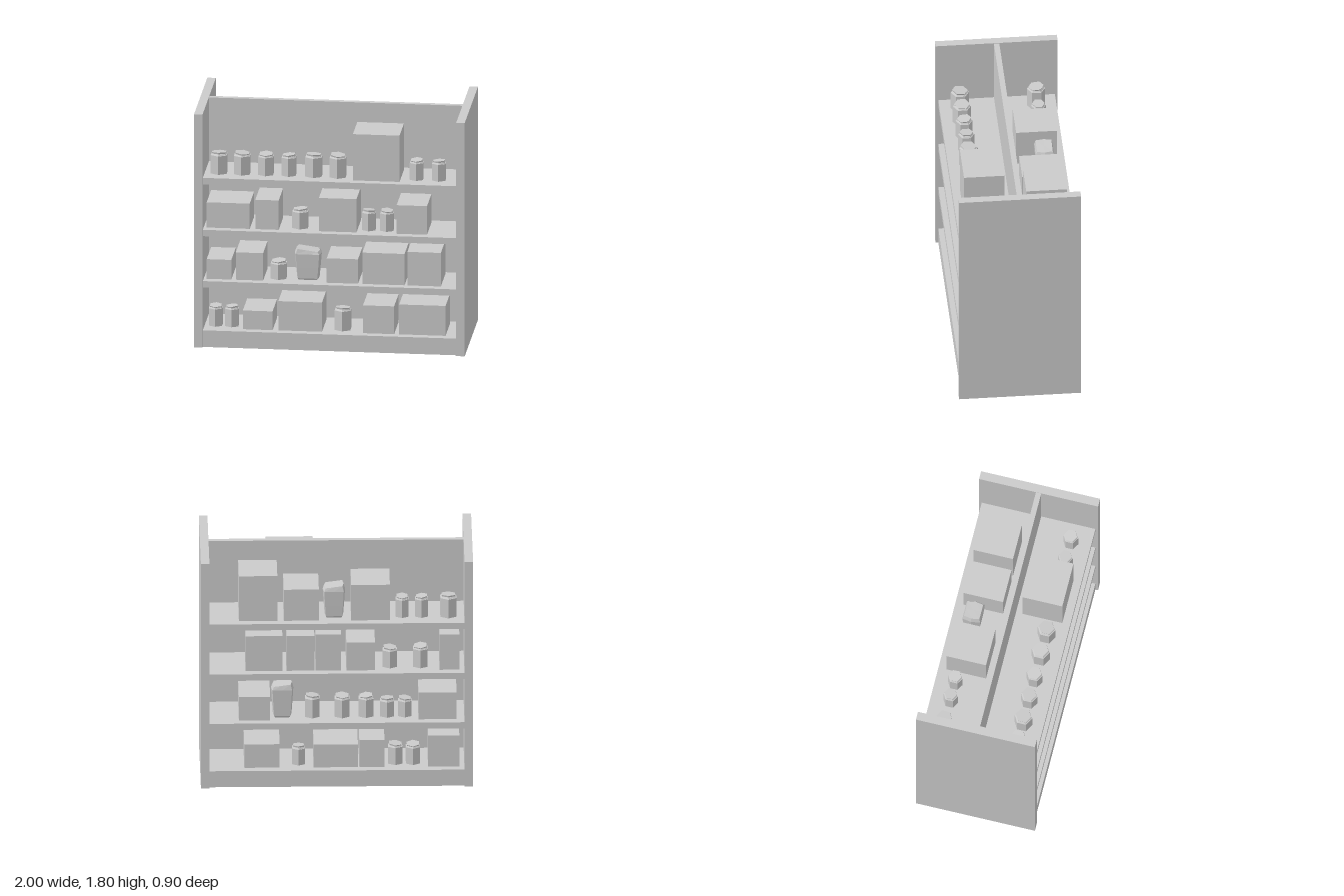
import * as THREE from 'three';

const grey = new THREE.MeshStandardMaterial({ color: 0xcacaca, flatShading: true });
grey.name = 'pale grey';

function add(parent, name, geometry, x = 0, y = 0, z = 0) {
  const mesh = new THREE.Mesh(geometry, grey);
  mesh.name = name;
  mesh.position.set(x, y, z);
  parent.add(mesh);
  return mesh;
}

// Box given by its limits on each axis
function block(parent, name, x0, x1, y0, y1, z0, z1) {
  return add(parent, name, new THREE.BoxGeometry(x1 - x0, y1 - y0, z1 - z0),
    (x0 + x1) / 2, (y0 + y1) / 2, (z0 + z1) / 2);
}

// Six-sided jar with a pinched neck and a slightly tilted lid
function jar(parent, x, y, top, z, r, turn) {
  const g = new THREE.Group();
  g.name = 'jar';
  g.position.set(x, y, z);
  const h = top - y;
  add(g, 'jarBody', new THREE.CylinderGeometry(r, r, h - 0.022, 6), 0, (h - 0.022) / 2);
  add(g, 'jarNeck', new THREE.CylinderGeometry(r * 0.78, r * 0.92, 0.01, 6), 0, h - 0.017);
  const lid = add(g, 'jarLid', new THREE.CylinderGeometry(r * 0.86, r * 0.78, 0.012, 6), 0, h - 0.008);
  lid.rotation.set(0.1 * Math.cos(turn), 0, 0.1 * Math.sin(turn));
  parent.add(g);
}

// Sack: widens upwards to a shoulder, with cut corners, a short bevel and a sloping top
function sack(parent, x, y, top, z, w, d) {
  const h = top - y;
  const geo = new THREE.BoxGeometry(w, h, d, 2, 4, 2);
  const p = geo.attributes.position;
  const rows = [{ t: 0, s: 0.76 }, { t: 0.05, s: 0.83 }, { t: 0.4, s: 0.91 }, { t: 0.84, s: 1 }, { t: 1, s: 0.86 }];
  for (let i = 0; i < p.count; i++) {
    const { t, s } = rows[Math.round((p.getY(i) / h + 0.5) * 4)];
    const px = p.getX(i), pz = p.getZ(i);
    const corner = Math.abs(px) > 0.01 && Math.abs(pz) > 0.01 ? 0.87 : 1;
    const lean = t === 1 ? -0.1 * (px + w / 2) : 0;
    p.setXYZ(i, px * s * corner, (t - 0.5) * h + lean, pz * s);
  }
  geo.computeVertexNormals();
  add(parent, 'sack', geo, x, y + h / 2, z);
}

// Goods per shelf: boxes [x0, x1, top], jars [x, top, radius], sacks [x, top, width]
const levels = [0.128, 0.507, 0.902, 1.302];
const frontGoods = [
  { boxes: [[-0.648, -0.428, 0.272], [-0.386, -0.063, 0.353], [0.24, 0.47, 0.342], [0.507, 0.85, 0.358]],
    jars: [[-0.857, 0.283, 0.056], [-0.737, 0.283, 0.056], [0.082, 0.3, 0.067]], sacks: [] },
  { boxes: [[-0.915, -0.733, 0.658], [-0.7, -0.498, 0.718], [-0.028, 0.203, 0.695], [0.235, 0.547, 0.748], [0.568, 0.815, 0.765]],
    jars: [[-0.392, 0.645, 0.066]], sacks: [[-0.175, 0.745, 0.2]] },
  { boxes: [[-0.915, -0.597, 1.096], [-0.556, -0.383, 1.128], [-0.086, 0.192, 1.158], [0.488, 0.713, 1.122]],
    jars: [[-0.232, 1.05, 0.066], [0.275, 1.057, 0.056], [0.408, 1.057, 0.056]], sacks: [] },
  { boxes: [[0.165, 0.51, 1.658]],
    jars: [[-0.833, 1.465, 0.068], [-0.662, 1.465, 0.068], [-0.486, 1.462, 0.063], [-0.317, 1.462, 0.06],
      [-0.133, 1.472, 0.069], [0.045, 1.472, 0.068], [0.627, 1.453, 0.056], [0.792, 1.453, 0.057]], sacks: [] },
];
const backGoods = [
  { boxes: [[0.42, 0.68, 0.315], [-0.155, 0.17, 0.31], [-0.35, -0.165, 0.345], [-0.9, -0.67, 0.375]],
    jars: [[0.28, 0.275, 0.056], [-0.43, 0.285, 0.06], [-0.56, 0.28, 0.06]], sacks: [] },
  { boxes: [[0.49, 0.72, 0.695], [-0.88, -0.6, 0.72]],
    jars: [[0.18, 0.675, 0.062], [-0.04, 0.67, 0.064], [-0.215, 0.67, 0.062], [-0.37, 0.65, 0.06], [-0.5, 0.65, 0.056]],
    sacks: [[0.4, 0.77, 0.165]] },
  { boxes: [[0.4, 0.67, 1.18], [0.165, 0.37, 1.18], [-0.03, 0.155, 1.19], [-0.28, -0.07, 1.125], [-0.9, -0.755, 1.185]],
    jars: [[-0.39, 1.055, 0.06], [-0.615, 1.065, 0.062]], sacks: [] },
  { boxes: [[0.437, 0.72, 1.66], [0.132, 0.39, 1.55], [-0.39, -0.105, 1.585]],
    jars: [[-0.48, 1.462, 0.055], [-0.623, 1.462, 0.055], [-0.82, 1.473, 0.068]], sacks: [[0.02, 1.555, 0.165]] },
];

function stock(parent, goods, side) {
  goods.forEach((shelf, i) => {
    const y = levels[i];
    for (const [x0, x1, top] of shelf.boxes) {
      const z = 0.22 * side;
      block(parent, 'storedBox', x0, x1, y, top, z - 0.15, z + 0.15);
    }
    shelf.jars.forEach(([x, top, r], k) => jar(parent, x, y, top, 0.28 * side, r, k * 1.7 + i));
    for (const [x, top, w] of shelf.sacks) sack(parent, x, y, top, 0.265 * side, w, 0.135);
  });
}

export function createModel() {
  const model = new THREE.Group();
  model.name = 'doubleSidedShelf';

  // Frame: end panels, central divider and shelves
  block(model, 'rightPanel', -1, -0.937, 0, 1.796, -0.45, 0.45);
  block(model, 'leftPanel', 0.937, 1, 0, 1.796, -0.45, 0.45);
  block(model, 'divider', -0.937, 0.937, 0.1, 1.793, -0.02, 0.02);
  for (const y of levels) block(model, 'shelf', -0.937, 0.937, y - 0.049, y, -0.43, 0.43);

  // Hollow plinth under the lowest shelf
  for (const s of [-1, 1]) {
    block(model, 'kickBoard', -0.937, 0.937, 0, 0.08, s * 0.425 - 0.005, s * 0.425 + 0.005);
  }

  // Goods on both sides
  const front = new THREE.Group();
  front.name = 'frontGoods';
  stock(front, frontGoods, 1);
  const back = new THREE.Group();
  back.name = 'backGoods';
  stock(back, backGoods, -1);
  model.add(front, back);
  return model;
}
